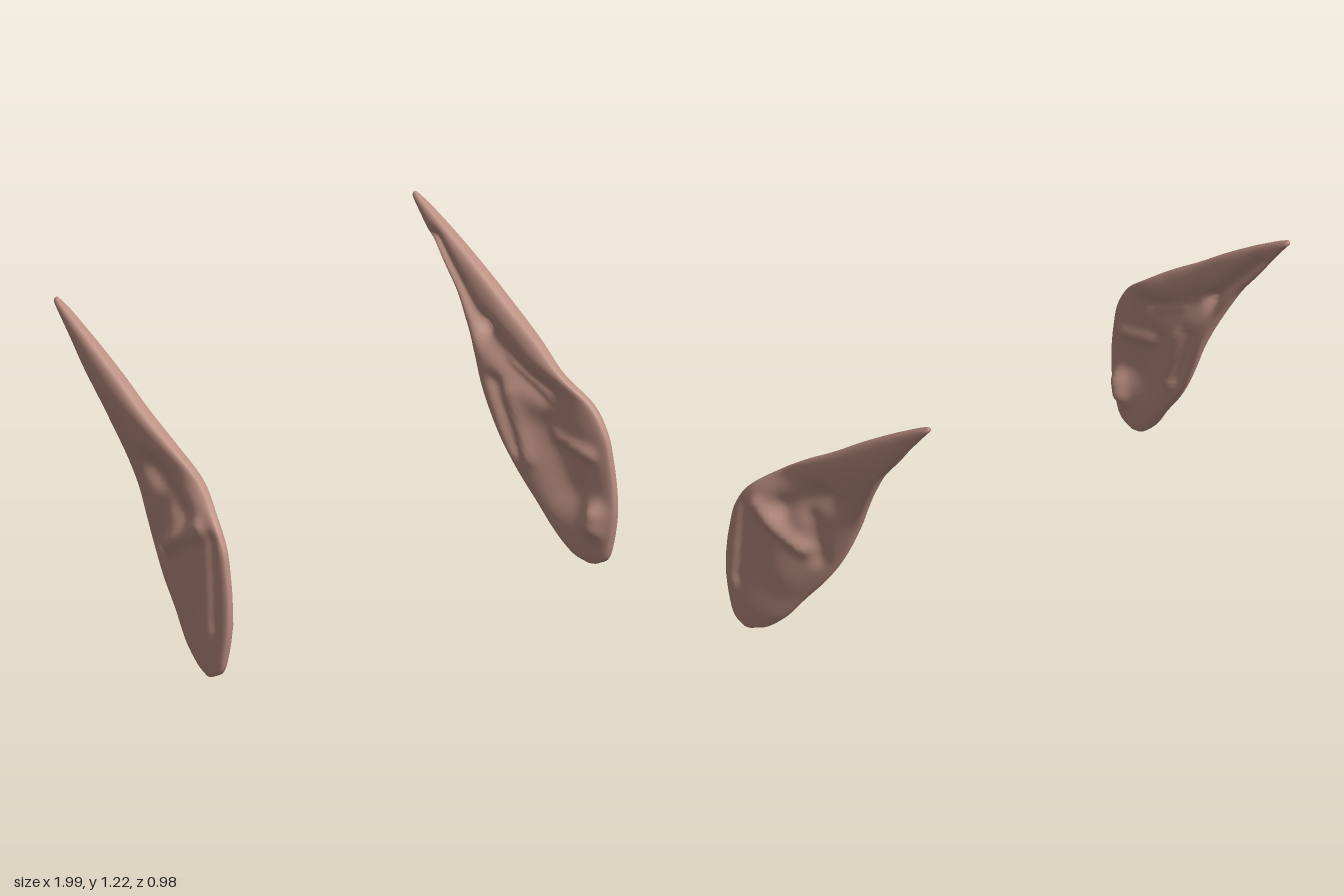
import * as THREE from 'three';

// Horizontal sections of one ear: [y, front z, back z, front x, back x, thickness]
const SECTIONS = [
  [0.003, 0.40, 0.36, 0.965, 0.955, 0.03],
  [0.03, 0.447, 0.30, 0.966, 0.94, 0.05],
  [0.10, 0.472, 0.225, 0.967, 0.925, 0.065],
  [0.20, 0.49, 0.15, 0.967, 0.905, 0.07],
  [0.30, 0.49, 0.07, 0.965, 0.888, 0.07],
  [0.40, 0.477, 0.005, 0.962, 0.872, 0.07],
  [0.50, 0.452, -0.045, 0.958, 0.862, 0.075],
  [0.60, 0.39, -0.088, 0.947, 0.858, 0.08],
  [0.70, 0.275, -0.133, 0.905, 0.87, 0.082],
  [0.80, 0.145, -0.185, 0.911, 0.885, 0.088],
  [0.90, 0.00, -0.245, 0.914, 0.897, 0.09],
  [1.00, -0.135, -0.325, 0.91, 0.90, 0.082],
  [1.10, -0.28, -0.40, 0.906, 0.90, 0.065],
  [1.18, -0.405, -0.465, 0.902, 0.90, 0.044],
  [1.21, -0.455, -0.49, 0.90, 0.90, 0.028],
  [1.224, -0.48, -0.488, 0.90, 0.90, 0.01],
];

// Folds as soft strokes: [z1, y1, z2, y2, radius, shift in x]
const OUTER_FOLDS = [
  [0.33, 0.55, 0.13, 0.44, 0.032, 0.03],   // lip of the root
  [0.25, 0.42, 0.22, 0.30, 0.08, 0.008],   // flat root panel
  [0.22, 0.58, 0.03, 0.70, 0.05, -0.035],  // hollow under the upper rim
  [0.09, 0.57, 0.075, 0.42, 0.04, -0.022], // hollow behind the lip
  [0.40, 0.52, 0.42, 0.20, 0.022, -0.014], // groove inside the front edge
];
const INNER_FOLDS = [
  [0.30, 0.28, 0.20, 0.48, 0.09, 0.036],   // bowl
  [0.20, 0.62, -0.10, 0.80, 0.05, 0.038],  // upper groove
  [-0.10, 0.80, -0.36, 1.08, 0.027, 0.034], // groove towards the tip
  [0.07, 0.38, -0.02, 0.62, 0.025, 0.024], // groove inside the back rim
  [0.12, 0.36, 0.05, 0.60, 0.028, -0.015], // inner ridge
  [0.42, 0.20, 0.41, 0.15, 0.04, -0.04],   // front flap
  [0.40, 0.42, 0.24, 0.46, 0.025, -0.02],  // ridge across the bowl
];

const foldShift = (folds, z, y) => folds.reduce((sum, [z1, y1, z2, y2, r, amount]) => {
  const dz = z2 - z1, dy = y2 - y1;
  const k = THREE.MathUtils.clamp(((z - z1) * dz + (y - y1) * dy) / (dz * dz + dy * dy), 0, 1);
  const d2 = (z - z1 - k * dz) ** 2 + (y - y1 - k * dy) ** 2;
  return sum + amount * Math.exp(-d2 / (r * r));
}, 0);

// Closed skin lofted through the sections; side is +1 or -1
function earGeometry(side, rows = 90, segs = 88) {
  const curve = (a, b, c) => new THREE.CatmullRomCurve3(
    SECTIONS.map((s) => new THREE.Vector3(s[a], s[b], s[c])), false, 'catmullrom', 0.5);
  const outline = curve(0, 1, 2), depth = curve(3, 4, 5);
  const pos = [], index = [];
  const face = (a, b, c) => (side > 0 ? index.push(a, b, c) : index.push(a, c, b));

  for (let i = 0; i <= rows; i++) {
    const { x: y, y: zf, z: zb } = outline.getPoint(i / rows);
    const { x: xf, y: xb, z: thick } = depth.getPoint(i / rows);
    for (let j = 0; j < segs; j++) {
      const a = (j / segs) * Math.PI * 2;
      const t = (1 - Math.cos(a)) / 2;
      const z = zf + (zb - zf) * t;
      const mid = xf + (xb - xf) * t ** 1.3;
      const s = Math.abs(Math.sin(a));
      const half = (thick / 2) * s ** 0.6;
      // folds fade out at the edges so the rim stays closed
      const fade = Math.min(1, s * 1.4);
      const outer = Math.min(0.997, mid + half + fade * foldShift(OUTER_FOLDS, z, y));
      const inner = Math.min(mid - half + fade * foldShift(INNER_FOLDS, z, y),
        outer - Math.min(0.016, half));
      pos.push(side * (Math.sin(a) >= 0 ? outer : inner), y, z);
    }
  }
  for (let i = 0; i < rows; i++) {
    for (let j = 0; j < segs; j++) {
      const k = (j + 1) % segs;
      const a = i * segs + j, b = i * segs + k;
      face(a, b, a + segs);
      face(b, b + segs, a + segs);
    }
  }
  // small end caps
  const top = rows * segs;
  for (let j = 1; j < segs - 1; j++) {
    face(0, j + 1, j);
    face(top, top + j, top + j + 1);
  }
  const geo = new THREE.BufferGeometry();
  geo.setAttribute('position', new THREE.Float32BufferAttribute(pos, 3));
  geo.setIndex(index);
  geo.computeVertexNormals();
  return geo;
}

export function createModel() {
  const model = new THREE.Group();
  model.name = 'pointedEars';
  const skin = new THREE.MeshStandardMaterial({ color: 0xb98d80 });
  skin.name = 'skin';
  for (const [name, side] of [['leftEar', 1], ['rightEar', -1]]) {
    const ear = new THREE.Mesh(earGeometry(side), skin);
    ear.name = name;
    model.add(ear);
  }
  return model;
}
